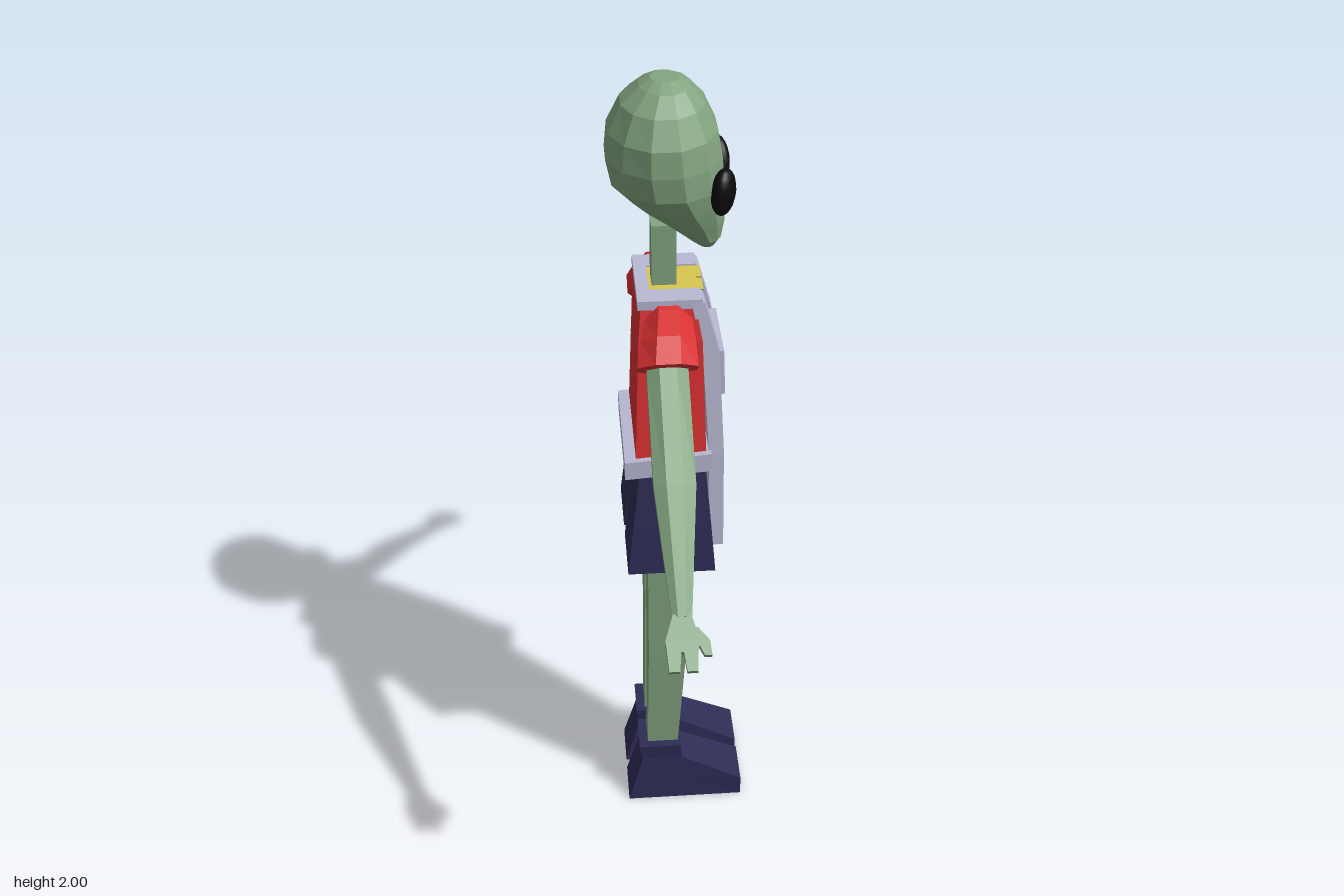
import * as THREE from 'three';

const mat = (name, color) => {
  const m = new THREE.MeshStandardMaterial({ color });
  m.name = name;
  return m;
};

// Ring spanning x0..x1, and from point a to point b given as [z, y].
function ring(x0, x1, a, b, n = 8) {
  const k = 1 / Math.cos(Math.PI / n), pts = [];
  for (let i = 0; i < n; i++) {
    const t = (i + 0.5) * 2 * Math.PI / n;
    const u = 0.5 + 0.5 * k * Math.cos(t), v = 0.5 + 0.5 * k * Math.sin(t);
    pts.push([x0 + (x1 - x0) * u, a[1] + (b[1] - a[1]) * v, a[0] + (b[0] - a[0]) * v]);
  }
  return pts;
}
const level = (y, x0, x1, z0, z1, n = 4) => ring(x0, x1, [z0, y], [z1, y], n);

// Closed, faceted skin over a row of equal-sized rings; s = -1 mirrors it in z.
function loft(rings, s = 1) {
  const tris = [], n = rings[0].length;
  const mid = r => [0, 1, 2].map(k => r.reduce((t, p) => t + p[k], 0) / n);
  const last = rings[rings.length - 1], c0 = mid(rings[0]), c1 = mid(last);
  for (let j = 0; j < n; j++) {
    const k = (j + 1) % n;
    tris.push([c0, rings[0][k], rings[0][j]], [c1, last[j], last[k]]);
    for (let i = 0; i + 1 < rings.length; i++) {
      const a = rings[i], b = rings[i + 1];
      tris.push([a[j], a[k], b[k]], [a[j], b[k], b[j]]);
    }
  }
  const v = tris.map(t => t.map(p => new THREE.Vector3(p[0], p[1], p[2] * s)));
  // Turn the faces outward using the enclosed volume, measured from one cap
  const o = v[0][0].clone();
  let vol = 0;
  for (const [a, b, c] of v) vol += a.clone().sub(o).dot(b.clone().sub(o).cross(c.clone().sub(o)));
  const g = new THREE.BufferGeometry().setFromPoints(v.flatMap(([a, b, c]) => vol < 0 ? [a, c, b] : [a, b, c]));
  g.computeVertexNormals();
  return g;
}

export function createModel() {
  const model = new THREE.Group();
  const skin = mat('green skin', 0x83a580), red = mat('red shirt', 0xdc3232);
  const navy = mat('navy cloth', 0x2d2c55), lilac = mat('lilac apron', 0xb9b9d4);
  const yellow = mat('yellow collar', 0xd8c650), black = mat('black eyes', 0x0b0b0b);
  const add = (name, geo, m) => {
    const mesh = new THREE.Mesh(geo, m);
    mesh.name = name;
    model.add(mesh);
    return mesh;
  };

  // Head: height, back, front, half width
  const head = [
    [1.605, 0.045, 0.08, 0.022], [1.625, 0.02, 0.093, 0.042], [1.67, -0.035, 0.1, 0.07],
    [1.72, -0.1, 0.1, 0.105], [1.77, -0.148, 0.097, 0.134], [1.83, -0.16, 0.092, 0.143],
    [1.89, -0.154, 0.082, 0.14], [1.95, -0.125, 0.055, 0.112], [1.985, -0.085, 0.025, 0.07],
    [2.0, -0.06, 0.0, 0.035]];
  add('head', loft(head.map(([y, b, f, w]) => level(y, b, f, -w, w, 12))), skin);
  add('neck', loft([level(1.48, -0.063, -0.007, -0.03, 0.03), level(1.665, -0.063, -0.007, -0.03, 0.03)]), skin);

  // Shirt, belt and apron
  add('shirt', loft([level(1.08, -0.112, 0.055, -0.145, 0.145), level(1.42, -0.1, 0.045, -0.122, 0.122),
    level(1.505, -0.093, 0.03, -0.108, 0.108)]), red);
  add('belt', loft([
    [[-0.137, 1.075, -0.157], [0.065, 1.09, -0.157], [0.065, 1.09, 0.157], [-0.137, 1.075, 0.157]],
    [[-0.137, 1.122, -0.157], [0.065, 1.138, -0.157], [0.065, 1.138, 0.157], [-0.137, 1.122, 0.157]]]), lilac);
  add('apron', loft([level(0.868, 0.06, 0.096, -0.15, 0.15), level(1.13, 0.06, 0.095, -0.14, 0.14),
    level(1.4, 0.045, 0.083, -0.118, 0.118)]), lilac);
  add('pocket', loft([level(1.265, 0.08, 0.1, -0.097, 0.097), level(1.38, 0.075, 0.096, -0.097, 0.097)]), lilac);
  add('pocketLining', loft([level(1.261, 0.08, 0.097, -0.092, 0.092), level(1.267, 0.08, 0.097, -0.092, 0.092)]), red);
  add('neckBand', loft([level(1.5, -0.1, -0.07, -0.11, 0.11), level(1.522, -0.1, -0.07, -0.11, 0.11)]), lilac);

  // Collar
  add('collar', loft([level(1.5, -0.072, 0.045, -0.058, 0.058), level(1.518, -0.072, 0.04, -0.058, 0.058)]), yellow);

  for (const s of [1, -1]) {
    const side = s > 0 ? 'left' : 'right';
    const part = (name, rings, m) => add(side + name, loft(rings, s), m);

    // Eye
    const eye = add(side + 'Eye', new THREE.SphereGeometry(1, 16, 12), black);
    eye.scale.set(0.026, 0.058, 0.041);
    eye.position.set(0.09, 1.767, 0.08 * s);
    eye.rotation.set(s * 0.25, -s * 0.4, 0);

    // Apron strap running up the chest and over the shoulder
    part('ApronStrap', [level(1.395, 0.045, 0.083, 0.06, 0.119), level(1.515, 0.02, 0.05, 0.055, 0.11)], lilac);
    part('ShoulderStrap', [level(1.5, -0.1, 0.047, 0.056, 0.11), level(1.522, -0.1, 0.045, 0.056, 0.11)], lilac);

    // Collar flap
    part('CollarFlap', [
      [[0.03, 1.518, 0.002], [0.03, 1.518, 0.056], [0.03, 1.482, 0.032]],
      [[0.052, 1.518, 0.002], [0.052, 1.518, 0.056], [0.054, 1.482, 0.032]]], yellow);

    // Sleeve
    part('Sleeve', [ring(-0.085, 0.022, [0.09, 1.512], [0.08, 1.40]), ring(-0.085, 0.022, [0.125, 1.508], [0.1, 1.4]),
      ring(-0.098, 0.025, [0.195, 1.483], [0.115, 1.39]), ring(-0.108, 0.028, [0.235, 1.435], [0.155, 1.362])], red);

    // Arm
    part('Arm', [ring(-0.085, 0.007, [0.175, 1.44], [0.125, 1.385]), ring(-0.086, 0.007, [0.225, 1.395], [0.175, 1.343]),
      ring(-0.086, 0.007, [0.415, 1.245], [0.376, 1.2]), ring(-0.062, -0.018, [0.608, 1.034], [0.59, 1.012])], skin);

    // Hand with two fingers and a thumb
    const slice = (x0, x1, z, t) => {
      const y = 1.023 - 0.65 * (z - 0.6);
      return ring(x0, x1, [z + 0.55 * t, y + 0.85 * t], [z - 0.55 * t, y - 0.85 * t], 4);
    };
    part('Palm', [slice(-0.06, -0.02, 0.595, 0.012), slice(-0.08, -0.006, 0.645, 0.013), slice(-0.077, -0.01, 0.665, 0.011)], skin);
    part('OuterFinger', [slice(-0.078, -0.046, 0.66, 0.011), slice(-0.075, -0.052, 0.7, 0.008)], skin);
    part('InnerFinger', [slice(-0.042, -0.01, 0.66, 0.011), slice(-0.036, -0.013, 0.7, 0.008)], skin);
    part('Thumb', [slice(-0.04, -0.008, 0.62, 0.011), slice(-0.012, 0.016, 0.645, 0.011), slice(0.003, 0.019, 0.672, 0.008)], skin);

    // Shorts, leg and shoe
    part('ShortsLeg', [level(0.812, -0.135, 0.075, 0.018, 0.18), level(0.94, -0.12, 0.065, 0.003, 0.166),
      level(1.1, -0.1, 0.052, 0, 0.142)], navy);
    part('Leg', [level(0.14, -0.09, -0.012, 0.032, 0.1), level(0.5, -0.085, 0.01, 0.03, 0.122),
      level(0.9, -0.085, 0.03, 0.026, 0.14)], skin);
    const shoe = (lo, hi) => [[-0.143, 0, lo], [0.157, 0, lo], [0.157, 0.055, lo], [0, 0.135, hi], [-0.105, 0.135, hi]];
    part('Shoe', [shoe(0.014, 0.022), shoe(0.133, 0.122)], navy);
    part('ShoeCuff', [level(0.13, -0.104, 0, 0.022, 0.12), level(0.18, -0.112, -0.004, 0.016, 0.124)], navy);
  }
  return model;
}
